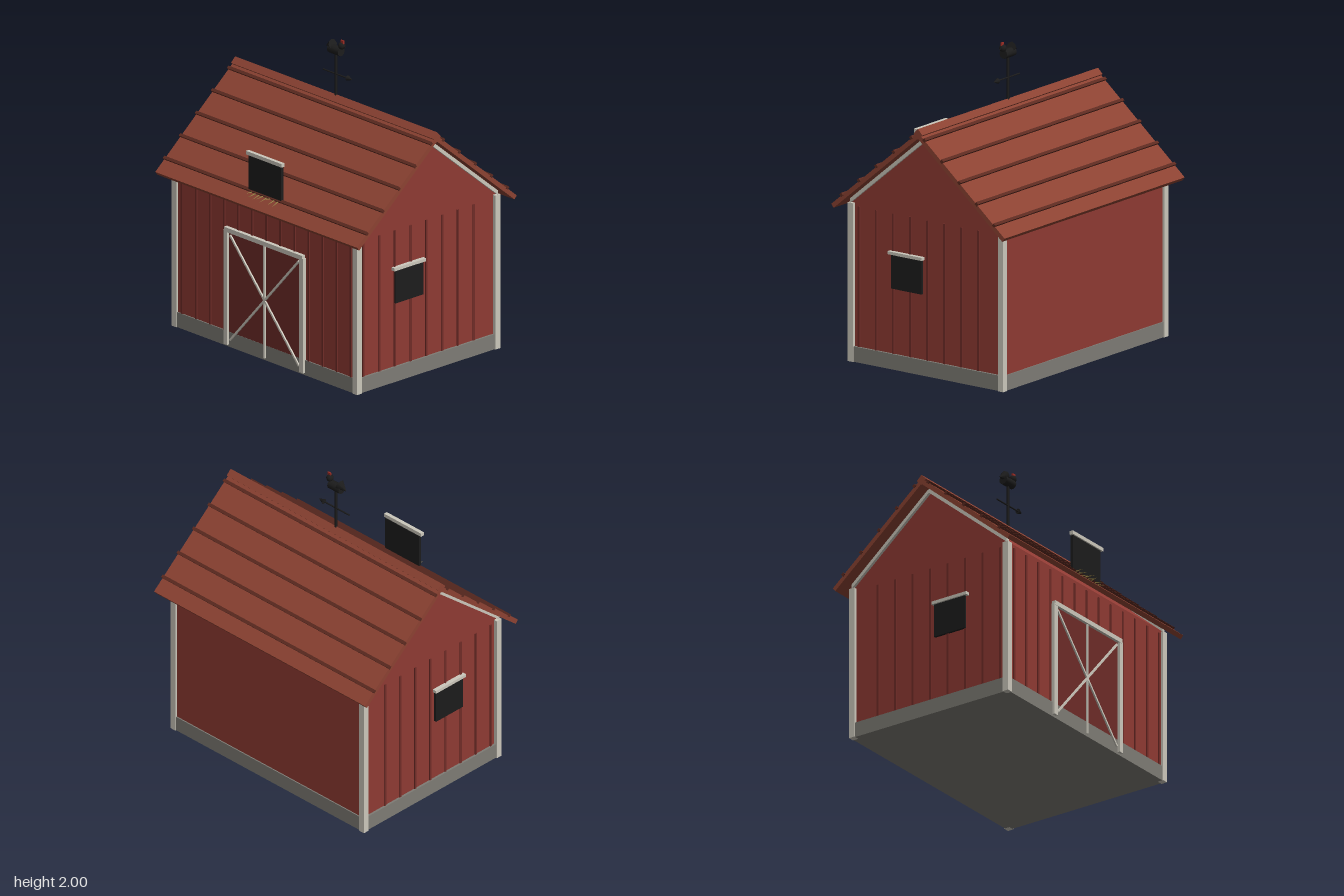
import * as THREE from 'three';

const mat = (color, extra = {}) => new THREE.MeshStandardMaterial({ color, ...extra });

export function createModel() {
  const barn = new THREE.Group();
  barn.name = 'barn';
  const wallRed = mat(0x8f3a33), battenRed = mat(0x702c27), doorRed = mat(0x6e2c28);
  const roofRed = mat(0x8c4232), seamRed = mat(0x5c2a20), trim = mat(0xccc8bc);
  const stone = mat(0x7e7c75), dark = mat(0x1c1c1c), straw = mat(0xa08a4a), red = mat(0x9c2c24);

  const add = (name, geometry, material, x = 0, y = 0, z = 0, parent = barn) => {
    const mesh = new THREE.Mesh(geometry, material);
    mesh.name = name;
    mesh.position.set(x, y, z);
    parent.add(mesh);
    return mesh;
  };
  const box = (name, w, h, d, material, x, y, z, parent) =>
    add(name, new THREE.BoxGeometry(w, h, d), material, x, y, z, parent);
  // Closed outline in (z, y), extruded symmetrically along x
  const extrudeX = (points, width) => {
    const shape = new THREE.Shape(points.map(([z, y]) => new THREE.Vector2(-z, y)));
    const g = new THREE.ExtrudeGeometry(shape, { depth: width, bevelEnabled: false });
    return g.translate(0, 0, -width / 2).rotateY(Math.PI / 2);
  };

  // Foundation and gabled body
  box('foundation', 1.68, 0.1, 1.216, stone, 0, 0.05, 0);
  add('walls', extrudeX([[0.6, 0.1], [0.6, 1.035], [0, 1.555], [-0.6, 1.035], [-0.6, 0.1]], 1.65), wallRed);

  // Corner posts
  for (const sx of [-1, 1]) for (const sz of [-1, 1])
    box('cornerPost', 0.042, 1.03, 0.042, trim, sx * 0.828, 0.515, sz * 0.594);

  // Vertical battens on the front and both ends
  for (let i = 0; i < 13; i++) {
    const x = -0.767 + i * 0.129;
    const bottom = Math.abs(x) < 0.33 ? 0.79 : 0.1;
    box('frontBatten', 0.015, 1.01 - bottom, 0.01, battenRed, x, (1.01 + bottom) / 2, 0.602);
  }
  for (const sx of [-1, 1]) for (let i = 0; i < 8; i++)
    box('endBatten', 0.01, 0.91, 0.015, battenRed, sx * 0.827, 0.555, 0.54 - i * 0.135);

  // Roof slopes, built for the front and turned round for the back
  const slope = Math.atan2(0.575, 0.685);
  const roofY = (z) => 1.6 - z * Math.tan(slope);
  for (const side of [0, 1]) {
    const half = new THREE.Group();
    half.name = side ? 'backRoof' : 'frontRoof';
    half.rotation.y = side * Math.PI;
    barn.add(half);
    add('roofSlab', extrudeX([[0, 1.6], [0, 1.561], [0.666, 1.002], [0.685, 1.025]], 1.85), roofRed, 0, 0, 0, half);
    for (let i = 0; i < 5; i++) {
      const z = 0.053 + i * 0.1375;
      box('roofSeam', 1.86, 0.02, 0.02, seamRed, 0, roofY(z) + 0.004, z, half).rotation.x = slope;
    }
    // Rake boards under the overhang
    for (const sx of [-1, 1])
      add('rakeBoard', extrudeX([[0, 1.559], [0, 1.53], [0.6, 1.028], [0.6, 1.057]], 0.025), trim, sx * 0.832, 0, 0, half);
  }
  box('ridgeCap', 1.85, 0.05, 0.05, roofRed, 0, 1.588, 0).rotation.x = Math.PI / 4;

  // Front double door with frame and cross braces
  const door = new THREE.Group();
  door.name = 'barnDoor';
  barn.add(door);
  box('doorPanel', 0.67, 0.76, 0.02, doorRed, 0, 0.4, 0.597, door);
  for (const sx of [-1, 1]) {
    box('doorJamb', 0.034, 0.765, 0.03, trim, sx * 0.348, 0.3975, 0.61, door);
    const brace = box('doorBrace', 0.945, 0.013, 0.012, trim, 0, 0.4, 0.612, door);
    brace.rotation.z = sx * Math.atan2(0.7, 0.63);
  }
  box('doorHeader', 0.715, 0.03, 0.034, trim, 0, 0.785, 0.61, door);
  box('doorSplit', 0.012, 0.76, 0.012, trim, 0, 0.395, 0.613, door);

  // End windows
  for (const sx of [-1, 1]) {
    box('windowPane', 0.02, 0.23, 0.24, dark, sx * 0.832, 0.64, 0.157);
    box('windowHeader', 0.035, 0.02, 0.27, trim, sx * 0.836, 0.757, 0.16);
  }

  // Hay loft hatch standing at the front eave
  box('loftHatch', 0.296, 0.245, 0.02, dark, 0, 1.2125, 0.6);
  box('loftHeader', 0.325, 0.024, 0.025, trim, 0, 1.347, 0.607);
  for (let i = 0; i < 8; i++) {
    const length = 0.06 + 0.02 * ((i * 3) % 5) / 4;
    const stalk = new THREE.ConeGeometry(0.005, length, 5).translate(0, length / 2, 0);
    const hay = add('hayStalk', stalk, straw, -0.12 + i * 0.034, 1.092, 0.605);
    hay.rotation.set(Math.PI / 2 + 0.12 * (((i * 2) % 5) - 1), 0, 0.15 * ((i % 3) - 1));
  }

  // Weather vane
  const vane = new THREE.Group();
  vane.name = 'weatherVane';
  barn.add(vane);
  add('vanePole', new THREE.CylinderGeometry(0.008, 0.008, 0.3, 8), dark, 0, 1.74, 0, vane);
  add('arrowShaft', new THREE.CylinderGeometry(0.005, 0.005, 0.23, 8).rotateZ(Math.PI / 2), dark, -0.002, 1.76, 0, vane);
  add('arrowHead', new THREE.ConeGeometry(0.018, 0.045, 8).rotateZ(-Math.PI / 2), dark, 0.127, 1.76, 0, vane);
  add('birdBody', new THREE.CylinderGeometry(0.03, 0.03, 0.1, 10).rotateZ(Math.PI / 2), dark, -0.002, 1.92, 0, vane);
  add('birdTail', new THREE.ConeGeometry(0.035, 0.065, 8), dark, -0.06, 1.938, 0, vane).rotation.z = 1.95;
  add('birdHead', new THREE.SphereGeometry(0.024, 10, 8), dark, 0.053, 1.962, 0, vane);
  add('birdBeak', new THREE.ConeGeometry(0.007, 0.02, 6).rotateZ(-Math.PI / 2), dark, 0.078, 1.96, 0, vane);
  box('birdComb', 0.026, 0.022, 0.01, red, 0.058, 1.989, 0, vane);

  return barn;
}
